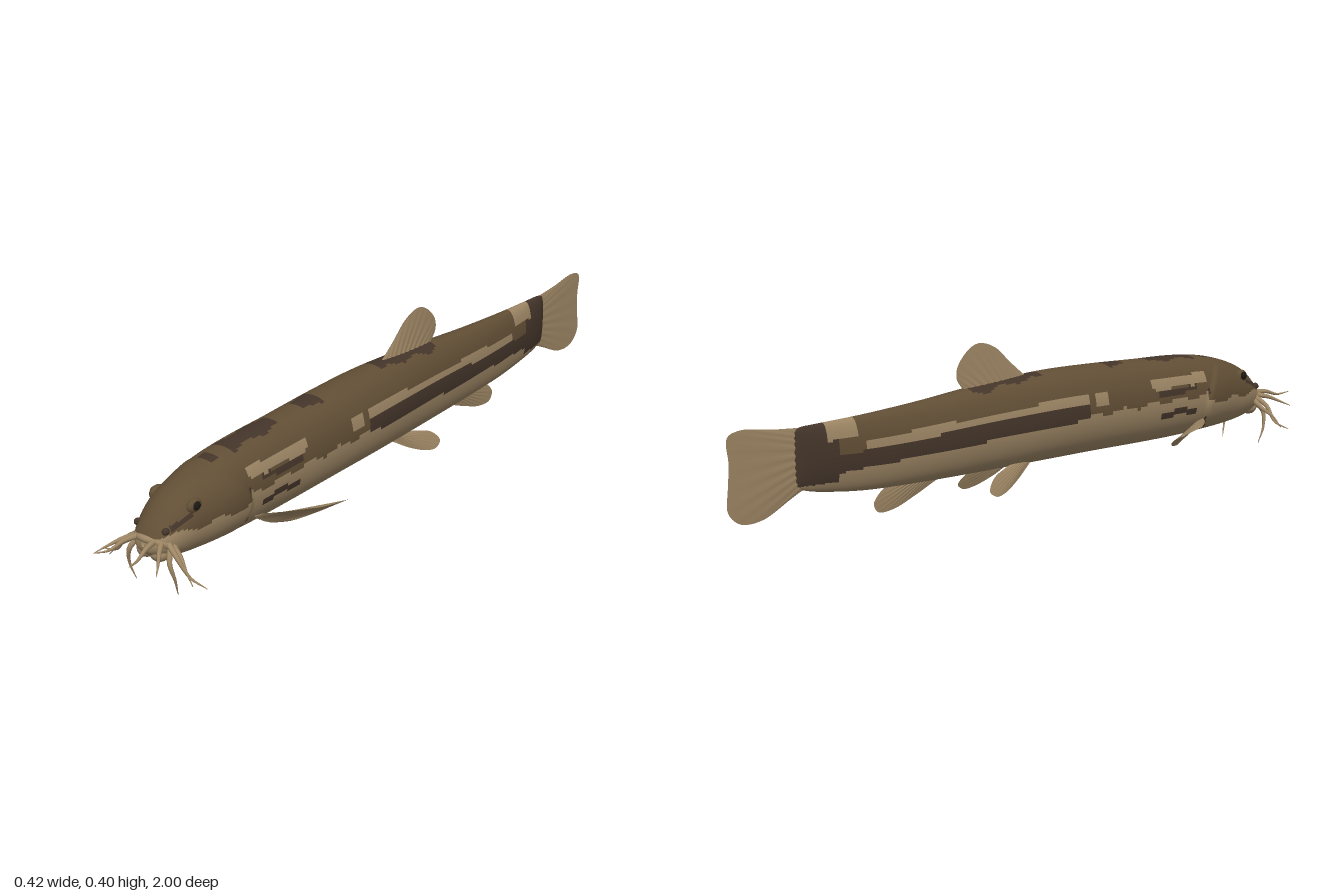
import * as THREE from 'three';

const V = (x, y, z) => new THREE.Vector3(x, y, z);
const mat = (name, color, side = THREE.FrontSide) => {
  const m = new THREE.MeshStandardMaterial({ color, side });
  m.name = name;
  return m;
};

// Skins closed rings of points; paint(point) gives a material index per quad
function loft(rings, paint) {
  const n = rings[0].length, pos = [], faces = [[], [], []];
  rings.forEach(r => r.forEach(p => pos.push(p.x, p.y, p.z)));
  for (let i = 0; i < rings.length - 1; i++) {
    for (let j = 0; j < n; j++) {
      const k = (j + 1) % n;
      const a = i * n + j, b = i * n + k, c = a + n, d = b + n;
      const mid = rings[i][j].clone().add(rings[i + 1][k]).multiplyScalar(0.5);
      faces[paint ? paint(mid) : 0].push(a, b, c, b, d, c);
    }
  }
  const g = new THREE.BufferGeometry();
  g.setAttribute('position', new THREE.Float32BufferAttribute(pos, 3));
  g.setIndex(faces.flat());
  if (paint) {
    let start = 0;
    faces.forEach((f, m) => { g.addGroup(start, f.length, m); start += f.length; });
  }
  g.computeVertexNormals();
  return g;
}

// Body stations: z, top, bottom, half width
const stations = [
  [0.893, 0.136, 0.126, 0.004], [0.885, 0.158, 0.108, 0.034], [0.86, 0.188, 0.09, 0.053],
  [0.81, 0.228, 0.077, 0.071], [0.74, 0.256, 0.069, 0.083], [0.65, 0.277, 0.064, 0.089],
  [0.54, 0.288, 0.06, 0.09], [0.4, 0.293, 0.06, 0.089], [0.2, 0.301, 0.063, 0.089],
  [0.02, 0.303, 0.064, 0.084], [-0.2, 0.292, 0.065, 0.067], [-0.4, 0.276, 0.068, 0.051],
  [-0.58, 0.266, 0.075, 0.036], [-0.72, 0.262, 0.092, 0.023], [-0.78, 0.26, 0.106, 0.013],
  [-0.805, 0.25, 0.118, 0.003],
];

function bodyRings() {
  const curve = f => new THREE.CatmullRomCurve3(stations.map(f), false, 'catmullrom');
  const upper = curve(s => V(s[3], s[1], s[0])), lower = curve(s => V(s[3], s[2], s[0]));
  const rings = [], rows = 225, sides = 80;
  for (let i = 0; i <= rows; i++) {
    const u = upper.getPoint(i / rows), l = lower.getPoint(i / rows);
    const mid = (u.y + l.y) / 2, h = (u.y - l.y) / 2;
    const ring = [];
    for (let j = 0; j < sides; j++) {
      const t = j / sides * Math.PI * 2, s = Math.sin(t), c = Math.cos(t);
      // Gill cover swells ahead of a curved edge
      const edge = gillEdge(mid + h * c);
      const swell = 0.008 * THREE.MathUtils.smoothstep(u.z, edge, edge + 0.015)
        * (1 - THREE.MathUtils.smoothstep(u.z, 0.64, 0.77));
      const x = Math.sign(s) * Math.pow(Math.abs(s), 0.9) * (u.x + swell * Math.abs(s));
      ring.push(V(x, mid + h * c, u.z));
    }
    rings.push(ring);
  }
  return rings;
}

const gillEdge = y => 0.595 + 6 * (y - 0.15) ** 2;
const within = (v, a, b) => v > a && v < b;

// Markings: 0 brown back, 1 tan belly and streaks, 2 dark stripe and blotches
function markings({ x, y, z }) {
  const d = y - (0.188 + 0.045 * z), wave = 0.006 * Math.sin(z * 55);
  const saddle = Math.abs(x) < 0.03 + wave && y > 0.2;
  if (saddle && [[0.42, 0.6], [0.64, 0.67], [0.26, 0.33], [-0.24, 0.0]].some(r => within(z, ...r))) return 2;
  if (z > 0.6) {
    if (within(z, gillEdge(y) - 0.006, gillEdge(y) + 0.004) && within(y, 0.08, 0.2)) return 2;
    if (within(z, 0.79, 0.85) && Math.abs(y - 0.195 + (z - 0.79) * 0.4) < 0.006) return 2;
    return y > 0.158 + wave ? 0 : 1;
  }
  if (z > 0.13) {
    if (within(z, 0.38, 0.6) && within(y, 0.216 + wave / 2, 0.244)) return 1;
    if (within(z, 0.15, 0.2) && within(y, 0.205, 0.235)) return 1;
    if (within(z, 0.4, 0.56) && within(y, 0.197, 0.214)) return 2;
    if (within(z, 0.41, 0.56) && within(y, 0.135 + wave, 0.152 + wave)) return 2;
    return y > 0.18 + wave ? 0 : 1;
  }
  if (z < -0.62 && y > 0.218) return within(z, -0.71, -0.62) ? 1 : (z < -0.71 ? 2 : 0);
  if (z < -0.68) return y > 0.115 ? 2 : 1;
  if (Math.abs(d) < 0.022) return 2;
  if (d > 0) return d < 0.046 && z > -0.6 ? 1 : 0;
  return 1;
}

// Lens-shaped fin between a root line and a curved rim, with faint rays
function finGeometry(rootPts, rimPts, normal, thick) {
  const root = new THREE.CatmullRomCurve3(rootPts), rim = new THREE.CatmullRomCurve3(rimPts);
  const rings = [], steps = 48, n = normal.clone().normalize();
  for (let i = 0; i <= 10; i++) {
    const v = i / 10, ring = [];
    for (let j = 0; j < steps * 2; j++) {
      const s = j <= steps ? j / steps : 2 - j / steps, side = j <= steps ? 1 : -1;
      const t = thick * (1 - 0.9 * v) * Math.sqrt(Math.max(0, Math.sin(Math.PI * s)))
        * (1 + 0.15 * Math.cos(s * Math.PI * 24));
      ring.push(root.getPoint(s).lerp(rim.getPoint(s), v).addScaledVector(n, side * t));
    }
    rings.push(ring);
  }
  return loft(rings);
}

// Tapered whisker along a curve
function barbelGeometry(points, radius) {
  const curve = new THREE.CatmullRomCurve3(points), rows = 16, sides = 8;
  const f = curve.computeFrenetFrames(rows), rings = [];
  for (let i = 0; i <= rows; i++) {
    const u = i / rows, r = radius * (1 - 0.9 * u), c = curve.getPointAt(u);
    rings.push(Array.from({ length: sides }, (_, j) => {
      const a = j / sides * Math.PI * 2;
      return c.clone().addScaledVector(f.normals[i], r * Math.cos(a)).addScaledVector(f.binormals[i], r * Math.sin(a));
    }));
  }
  return loft(rings);
}

export function createModel() {
  const model = new THREE.Group();
  model.name = 'fish';
  const brown = mat('brown back', 0x614e35), tan = mat('tan belly', 0x9c8564);
  const dark = mat('dark markings', 0x44352a), finTan = mat('fin tan', 0x9f8765, THREE.DoubleSide);
  const black = mat('eye black', 0x1d1813);
  const add = (name, geo, material, parent = model) => {
    const m = new THREE.Mesh(geo, material);
    m.name = name;
    parent.add(m);
    return m;
  };
  const ball = (name, material, parent, p, s) => {
    const m = add(name, new THREE.SphereGeometry(1, 20, 14), material, parent);
    m.position.set(...p);
    m.scale.set(...s);
  };

  add('body', loft(bodyRings(), markings), [brown, tan, dark]);

  // Fins on the centre line
  const X = V(1, 0, 0);
  add('tailFin', finGeometry([V(0, 0.255, -0.74), V(0, 0.18, -0.76), V(0, 0.11, -0.74)],
    [V(0, 0.258, -0.77), V(0, 0.265, -0.86), V(0, 0.276, -0.96), V(0, 0.262, -0.996), V(0, 0.2, -0.992),
      V(0, 0.14, -0.996), V(0, 0.085, -0.998), V(0, 0.052, -0.965), V(0, 0.05, -0.9), V(0, 0.085, -0.82), V(0, 0.11, -0.77)],
    X, 0.006), finTan);
  add('dorsalFin', finGeometry([V(0, 0.292, -0.02), V(0, 0.285, -0.13), V(0, 0.28, -0.255)],
    [V(0, 0.305, -0.04), V(0, 0.34, -0.085), V(0, 0.385, -0.14), V(0, 0.401, -0.195), V(0, 0.385, -0.235),
      V(0, 0.345, -0.27), V(0, 0.315, -0.272), V(0, 0.285, -0.25)], X, 0.01), finTan);
  add('analFin', finGeometry([V(0, 0.08, -0.34), V(0, 0.08, -0.4), V(0, 0.08, -0.47)],
    [V(0, 0.065, -0.345), V(0, 0.035, -0.42), V(0, 0.012, -0.49), V(0, 0.012, -0.54), V(0, 0.035, -0.553),
      V(0, 0.07, -0.52), V(0, 0.082, -0.48)], X, 0.007), finTan);
  add('upperLip', new THREE.TubeGeometry(new THREE.CatmullRomCurve3([V(-0.056, 0.122, 0.84), V(-0.038, 0.14, 0.872),
    V(0, 0.148, 0.888), V(0.038, 0.14, 0.872), V(0.056, 0.122, 0.84)]), 32, 0.009, 10), tan);

  // Paired parts, mirrored
  for (const side of [1, -1]) {
    const half = new THREE.Group();
    half.name = side > 0 ? 'leftSide' : 'rightSide';
    half.scale.x = side;
    model.add(half);

    add('pectoralFin', finGeometry([V(0.078, 0.108, 0.58), V(0.078, 0.085, 0.54), V(0.076, 0.06, 0.5)],
      [V(0.095, 0.117, 0.572), V(0.14, 0.12, 0.53), V(0.19, 0.12, 0.46), V(0.212, 0.119, 0.4), V(0.205, 0.108, 0.365),
        V(0.178, 0.092, 0.36), V(0.135, 0.068, 0.4), V(0.1, 0.056, 0.46), V(0.08, 0.056, 0.49)],
      V(-0.25, 0.85, -0.45), 0.006), finTan, half);
    add('pelvicFin', finGeometry([V(0.026, 0.078, -0.035), V(0.03, 0.077, -0.06), V(0.032, 0.076, -0.1)],
      [V(0.032, 0.068, -0.045), V(0.045, 0.035, -0.1), V(0.06, 0.01, -0.16), V(0.065, 0.007, -0.195), V(0.062, 0.022, -0.215),
        V(0.05, 0.052, -0.19), V(0.036, 0.075, -0.125)], V(0.85, 0.5, 0), 0.005), finTan, half);

    // Eye, nostril and lower lip
    ball('eyeSocket', brown, half, [0.06, 0.208, 0.775], [0.013, 0.019, 0.024]);
    ball('eye', black, half, [0.067, 0.21, 0.776], [0.009, 0.012, 0.014]);
    ball('nostril', dark, half, [0.045, 0.168, 0.86], [0.009, 0.009, 0.01]);
    ball('lowerLip', tan, half, [0.021, 0.104, 0.858], [0.025, 0.021, 0.024]);

    // Whiskers around the mouth
    [
      [V(0.025, 0.145, 0.875), V(0.036, 0.143, 0.92), V(0.045, 0.131, 0.96), V(0.057, 0.136, 1.0)],
      [V(0.038, 0.14, 0.868), V(0.06, 0.133, 0.9), V(0.083, 0.118, 0.93), V(0.1, 0.105, 0.955)],
      [V(0.045, 0.138, 0.855), V(0.085, 0.112, 0.866), V(0.118, 0.072, 0.862), V(0.172, 0.057, 0.86)],
      [V(0.05, 0.13, 0.845), V(0.08, 0.108, 0.85), V(0.112, 0.083, 0.865), V(0.136, 0.055, 0.87)],
      [V(0.05, 0.125, 0.85), V(0.065, 0.095, 0.872), V(0.074, 0.05, 0.865), V(0.068, 0.003, 0.85)],
    ].forEach((pts, i) => add('barbel' + (i + 1), barbelGeometry(pts, 0.0085), finTan, half));
  }
  return model;
}
